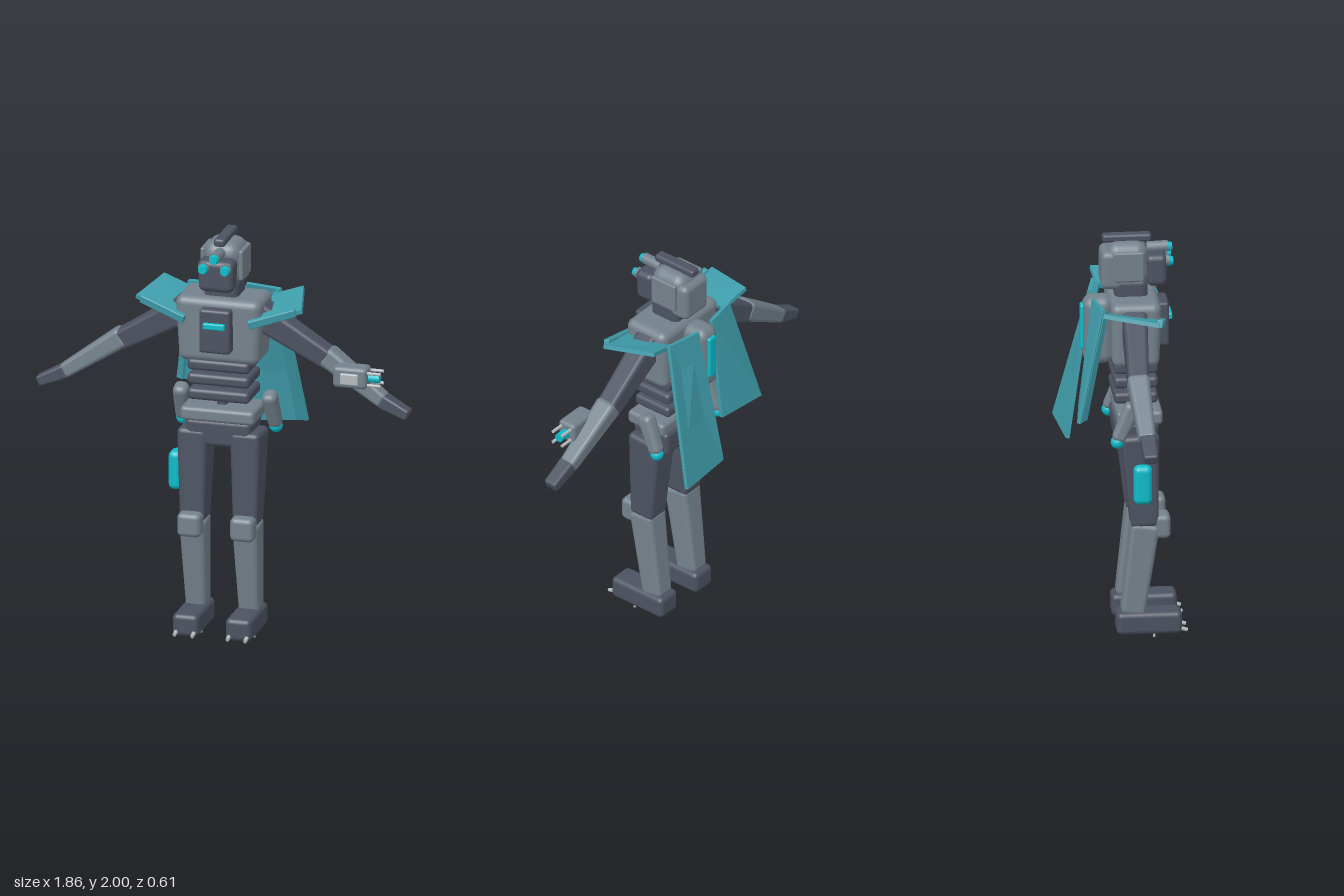
import * as THREE from 'three';
import { RoundedBoxGeometry } from 'three/addons/geometries/RoundedBoxGeometry.js';

const mat = (name, color, side = THREE.FrontSide) => {
  const m = new THREE.MeshStandardMaterial({ color, side });
  m.name = name;
  return m;
};
const V = (p) => new THREE.Vector3(...p);

export function createModel() {
  const root = new THREE.Group();
  const dark = mat('darkArmour', 0x4c5261);
  const grey = mat('greyArmour', 0x74818b);
  const light = mat('paleMetal', 0xb4babd);
  const cyan = mat('brightCyan', 0x0cbcc9);
  const teal = mat('tealPanel', 0x3f9dab, THREE.DoubleSide);

  const add = (name, geo, material, pos = [0, 0, 0]) => {
    const m = new THREE.Mesh(geo, material);
    m.name = name;
    m.position.set(...pos);
    root.add(m);
    return m;
  };

  // Rounded block given by its extents; bottom can be narrowed
  const block = (name, material, [x0, x1], [y0, y1], [z0, z1], r = 0.02, bottom = 1, top = 1) => {
    const h = y1 - y0;
    const g = new RoundedBoxGeometry(x1 - x0, h, z1 - z0, 3, r);
    const p = g.attributes.position;
    for (let i = 0; i < p.count; i++) {
      const s = THREE.MathUtils.lerp(bottom, top, p.getY(i) / h + 0.5);
      p.setX(i, p.getX(i) * s);
      p.setZ(i, p.getZ(i) * s);
    }
    return add(name, g, material, [(x0 + x1) / 2, (y0 + y1) / 2, (z0 + z1) / 2]);
  };

  // Tapered limb from a to b with [width, depth] at each end
  const limb = (name, material, a, b, [wa, da], [wb, db], r = 0.025) => {
    const A = V(a), B = V(b), len = A.distanceTo(B);
    const g = new RoundedBoxGeometry(wa, len, da, 3, r);
    const p = g.attributes.position;
    for (let i = 0; i < p.count; i++) {
      const t = 0.5 - p.getY(i) / len;
      p.setX(i, p.getX(i) * THREE.MathUtils.lerp(1, wb / wa, t));
      p.setZ(i, p.getZ(i) * THREE.MathUtils.lerp(1, db / da, t));
    }
    const m = add(name, g, material, A.clone().add(B).multiplyScalar(0.5).toArray());
    m.quaternion.setFromUnitVectors(new THREE.Vector3(0, -1, 0), B.sub(A).normalize());
    return m;
  };

  const rod = (name, material, a, b, ra, rb = ra) => {
    const A = V(a), B = V(b);
    const g = new THREE.CylinderGeometry(rb, ra, A.distanceTo(B), 16);
    const m = add(name, g, material, A.clone().add(B).multiplyScalar(0.5).toArray());
    m.quaternion.setFromUnitVectors(new THREE.Vector3(0, 1, 0), B.sub(A).normalize());
    return m;
  };

  // Flat four-cornered panel (top-left, top-right, bottom-right, bottom-left) with thickness
  const panel = (name, corners, thick) => {
    const [a, b, c, d] = corners.map(V);
    const n = c.clone().sub(a).cross(d.clone().sub(b)).normalize();
    const g = new THREE.BoxGeometry(1, 1, 1);
    const p = g.attributes.position;
    for (let i = 0; i < p.count; i++) {
      const u = p.getX(i) + 0.5, v = 0.5 - p.getY(i);
      const q = a.clone().lerp(b, u).lerp(d.clone().lerp(c, u), v).addScaledVector(n, p.getZ(i) * thick);
      p.setXYZ(i, q.x, q.y, q.z);
    }
    const flat = g.toNonIndexed();
    flat.computeVertexNormals();
    return add(name, flat, teal);
  };

  const span = (c, w) => [c - w / 2, c + w / 2];
  const ball = (name, material, r, pos) => add(name, new THREE.SphereGeometry(r, 20, 14), material, pos);

  // Torso, chest unit and backpack
  block('torso', grey, [-0.215, 0.215], [1.375, 1.705], [-0.07, 0.175], 0.04, 0.92, 1);
  block('chestPlate', dark, [-0.078, 0.078], [1.445, 1.665], [0.13, 0.222], 0.015);
  block('chestLight', cyan, [-0.055, 0.055], [1.57, 1.602], [0.21, 0.24], 0.008);
  block('backpack', grey, [-0.065, 0.065], [1.35, 1.69], [-0.19, -0.04], 0.05);
  block('backLight', cyan, [-0.028, 0.028], [1.42, 1.65], [-0.202, -0.17], 0.013);

  // Waist
  block('spine', dark, [-0.05, 0.05], [1.12, 1.4], [-0.02, 0.1], 0.02).scale.x = 0.5;
  for (const y of [1.21, 1.287, 1.36]) {
    block('abdomenBand', dark, [-0.155, 0.155], span(y, 0.057), [-0.05, 0.162], 0.02);
  }
  block('belt', grey, [-0.185, 0.185], [1.08, 1.15], [-0.04, 0.182], 0.02);
  block('pelvis', dark, [-0.168, 0.168], [0.95, 1.09], [-0.05, 0.168], 0.025, 0.88, 1);

  // Neck and head
  block('neck', dark, [-0.085, 0.085], [1.68, 1.79], [-0.04, 0.12], 0.03);
  block('helmet', grey, [-0.1, 0.1], [1.76, 1.97], [-0.085, 0.13], 0.06, 1, 0.9);
  block('helmetBack', grey, [-0.088, 0.088], [1.74, 1.93], [-0.105, 0.0], 0.03);
  block('crest', dark, [-0.028, 0.028], [1.96, 2.0], [-0.095, 0.142], 0.014);
  block('snout', dark, [-0.092, 0.092], [1.75, 1.91], [0.11, 0.215], 0.03, 0.92, 1);
  for (const s of [-1, 1]) {
    block('earPlate', grey, span(s * 0.095, 0.024), [1.785, 1.935], [-0.05, 0.1], 0.01);
  }
  for (const [x, y] of [[-0.055, 1.872], [0.055, 1.872], [0, 1.925]]) {
    rod('eyeSocket', grey, [x, y, 0.12], [x, y + 0.004, 0.222], 0.027);
    rod('eyeLens', cyan, [x, y, 0.215], [x, y, 0.242], 0.026, 0.02);
  }

  for (const s of [-1, 1]) {
    // Legs
    const x = s * 0.132;
    limb('thigh', dark, [x, 1.03, 0.07], [x, 0.56, 0.095], [0.15, 0.19], [0.122, 0.13]);
    limb('shin', grey, [x, 0.575, 0.1], [x, 0.11, 0.038], [0.13, 0.14], [0.1, 0.115]);
    block('kneePad', grey, span(x, 0.118), [0.5, 0.618], [0.13, 0.22], 0.025);
    block('foot', dark, span(x, 0.13), [0.015, 0.127], [-0.04, 0.275], 0.025);
    for (const dx of [-0.044, 0.044]) {
      rod('toeClaw', light, [x + dx, 0.045, 0.25], [x + dx, 0.03, 0.3], 0.011, 0.009);
      rod('soleStud', light, [x + dx, 0, 0.14], [x + dx, 0.03, 0.14], 0.006);
    }

    // Arms
    limb('upperArm', dark, [s * 0.16, 1.625, 0.045], [s * 0.54, 1.4, 0.03], [0.14, 0.12], [0.095, 0.1]);
    limb('forearm', grey, [s * 0.5, 1.435, 0.03], [s * 0.805, 1.225, 0.048], [0.105, 0.11], [0.07, 0.08]);
    limb('hand', dark, [s * 0.785, 1.235, 0.05], [s * 0.925, 1.17, 0.055], [0.075, 0.08], [0.05, 0.07], 0.015);

    // Hip thrusters
    limb('hipPod', grey, [s * 0.22, 1.21, 0.04], [s * 0.232, 1.02, -0.045], [0.075, 0.085], [0.065, 0.065], 0.03);
    ball('hipPodTip', cyan, 0.033, [s * 0.232, 1.02, -0.042]);

    // Shoulder pads with a thick front rim
    const m = (px, y, z) => [s * px, y, z];
    panel('shoulderPad', [m(0.21, 1.66, -0.1), m(0.35, 1.705, -0.12), m(0.415, 1.672, 0.14), m(0.175, 1.605, 0.18)], 0.02);
    limb('shoulderRim', teal, m(0.16, 1.595, 0.182), m(0.385, 1.67, 0.148), [0.042, 0.03], [0.04, 0.03], 0.006);
  }

  // Cape halves: the left one is longer than the right
  panel('capeLeft', [[0.055, 1.69, -0.15], [0.235, 1.69, -0.115], [0.32, 0.975, -0.295], [0.005, 0.96, -0.26]], 0.02);
  panel('capeLeftFlange', [[0.235, 1.69, -0.12], [0.205, 1.67, -0.085], [0.275, 0.985, -0.25], [0.32, 0.975, -0.295]], 0.012);
  panel('capeRight', [[-0.055, 1.69, -0.14], [-0.225, 1.69, -0.11], [-0.315, 1.15, -0.235], [-0.055, 1.15, -0.205]], 0.02);
  panel('capeRightFlange', [[-0.225, 1.69, -0.115], [-0.195, 1.67, -0.085], [-0.275, 1.155, -0.195], [-0.315, 1.15, -0.235]], 0.012);

  // Thigh unit on the right leg
  block('thighCell', cyan, [-0.262, -0.195], [0.7, 0.895], [0.035, 0.125], 0.028);

  // Wrist device on the left forearm
  block('wristDevice', grey, [0.57, 0.74], [1.31, 1.415], [0.06, 0.158], 0.02);
  block('wristScreen', light, [0.61, 0.7], [1.33, 1.388], [0.145, 0.168], 0.008);
  rod('wristEmitter', cyan, [0.72, 1.36, 0.108], [0.795, 1.36, 0.108], 0.022);
  for (const y of [1.33, 1.39]) for (const z of [0.08, 0.136]) {
    rod('wristProng', light, [0.72, y, z], [0.805, y, z], 0.008);
  }
  return root;
}
